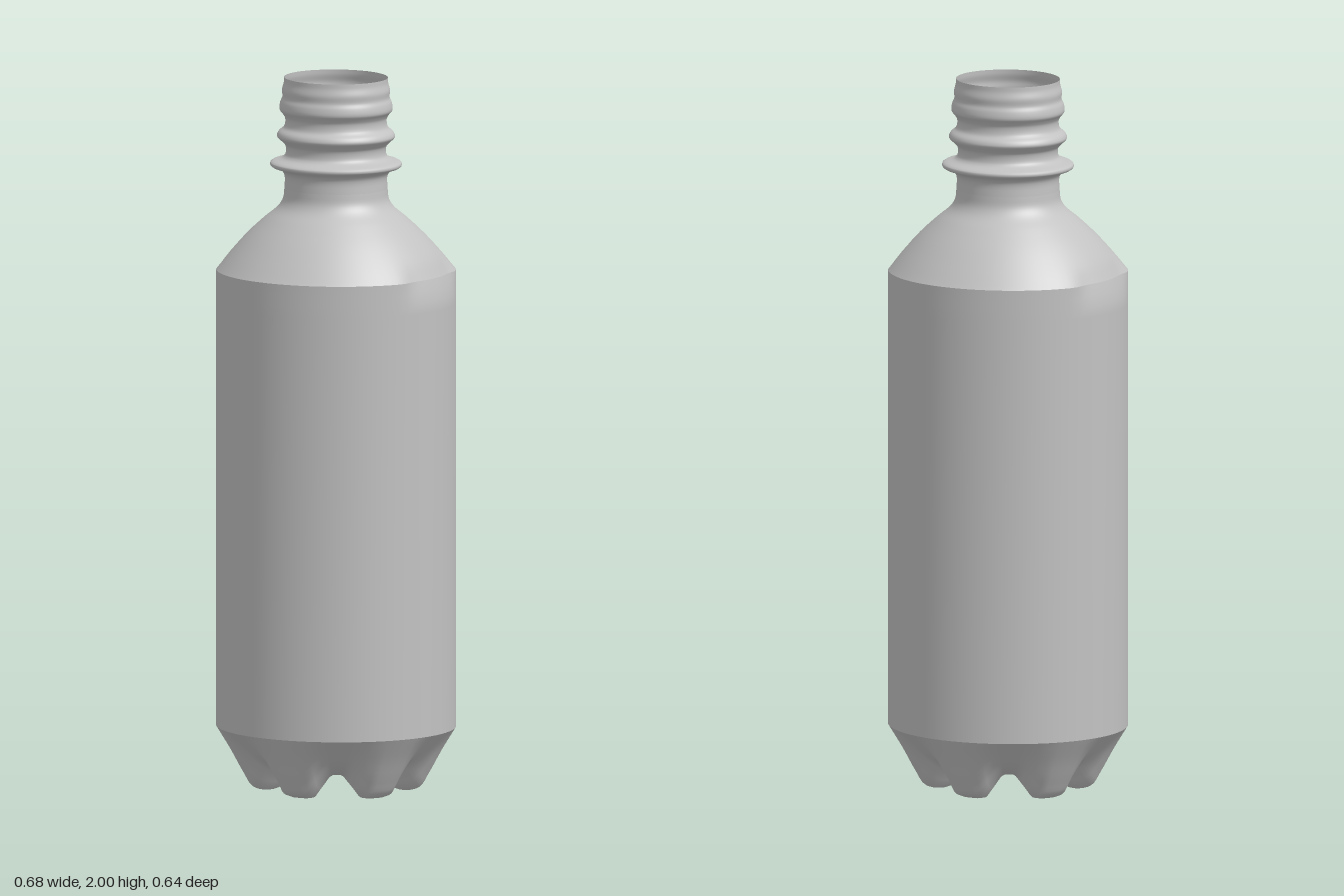
import * as THREE from 'three';

const SEG = 72;
const DEPTH = 0.95; // the bottle is slightly narrower front to back

const plastic = new THREE.MeshStandardMaterial({ color: 0xc2c2c2, side: THREE.DoubleSide });
plastic.name = 'grey plastic';

// Skin a closed ring of profiles; profileAt(angle) gives [radius, height] points, bottom to top.
function loft(name, profileAt) {
  const positions = [], index = [];
  let rows = 0;
  for (let i = 0; i < SEG; i++) {
    const a = (i / SEG) * Math.PI * 2;
    const profile = profileAt(a);
    rows = profile.length;
    for (const [r, y] of profile) positions.push(r * Math.cos(a), y, r * Math.sin(a) * DEPTH);
  }
  for (let i = 0; i < SEG; i++) {
    const p = i * rows, q = ((i + 1) % SEG) * rows;
    for (let j = 0; j < rows - 1; j++) {
      index.push(p + j, p + j + 1, q + j, q + j, p + j + 1, q + j + 1);
    }
  }
  const geometry = new THREE.BufferGeometry();
  geometry.setAttribute('position', new THREE.Float32BufferAttribute(positions, 3));
  geometry.setIndex(index);
  geometry.computeVertexNormals();
  const mesh = new THREE.Mesh(geometry, plastic);
  mesh.name = name;
  return mesh;
}

const smoothCurve = (points, n) =>
  new THREE.CatmullRomCurve3(points.map(([r, y]) => new THREE.Vector3(r, y, 0)), false, 'centripetal')
    .getPoints(n).map((p) => [p.x, p.y]);

// How far an angle lies inside the rounded patches on the left and right shoulders
const sidePatch = (a) => 1 - THREE.MathUtils.smoothstep(Math.abs(Math.sin(a)), 0.28, 0.48);

export function createModel() {
  const bottle = new THREE.Group();
  bottle.name = 'bottle';

  // Base: six feet with valleys between them, meeting at a raised centre
  const foot = [[0, 0.05], [0.07, 0.042], [0.14, 0.016], [0.19, 0], [0.235, 0.01], [0.262, 0.05], [0.298, 0.115], [0.338, 0.18]];
  const valley = [[0, 0.05], [0.07, 0.053], [0.13, 0.058], [0.18, 0.068], [0.22, 0.085], [0.255, 0.108], [0.295, 0.142], [0.338, 0.18]];
  bottle.add(loft('base', (a) => {
    const w = THREE.MathUtils.smoothstep(0.5 - 0.5 * Math.cos(6 * a), 0.05, 0.85);
    return smoothCurve(foot.map(([r, y], i) => [
      THREE.MathUtils.lerp(valley[i][0], r, w),
      THREE.MathUtils.lerp(valley[i][1], y, w),
    ]), 28);
  }));

  // Straight wall, easing inwards at the top of the two side patches
  bottle.add(loft('body', (a) => {
    const w = sidePatch(a);
    return [[0.338, 0.18], [0.338, 1.37], [0.338 - 0.003 * w, 1.4], [0.338 - 0.009 * w, 1.43], [0.338 - 0.018 * w, 1.46]];
  }));

  // Sloping shoulder up to the neck
  bottle.add(loft('shoulder', (a) => {
    const w = sidePatch(a);
    return smoothCurve([
      [0.338 - 0.018 * w, 1.46], [0.298 - 0.004 * w, 1.508], [0.25, 1.56],
      [0.2, 1.606], [0.163, 1.637], [0.149, 1.66], [0.145, 1.69],
    ], 24);
  }));

  // Neck with support ring and two thread ridges, open at the top
  const neck = smoothCurve([
    [0.145, 1.69], [0.145, 1.725], [0.155, 1.74], [0.184, 1.752], [0.184, 1.762], [0.152, 1.774],
    [0.142, 1.785], [0.142, 1.808], [0.152, 1.82], [0.166, 1.834], [0.162, 1.847], [0.146, 1.862],
    [0.143, 1.885], [0.15, 1.898], [0.159, 1.91], [0.157, 1.93], [0.151, 1.945], [0.152, 1.965], [0.147, 1.985], [0.146, 2],
  ], 76);
  bottle.add(loft('neck', () => neck));

  return bottle;
}
